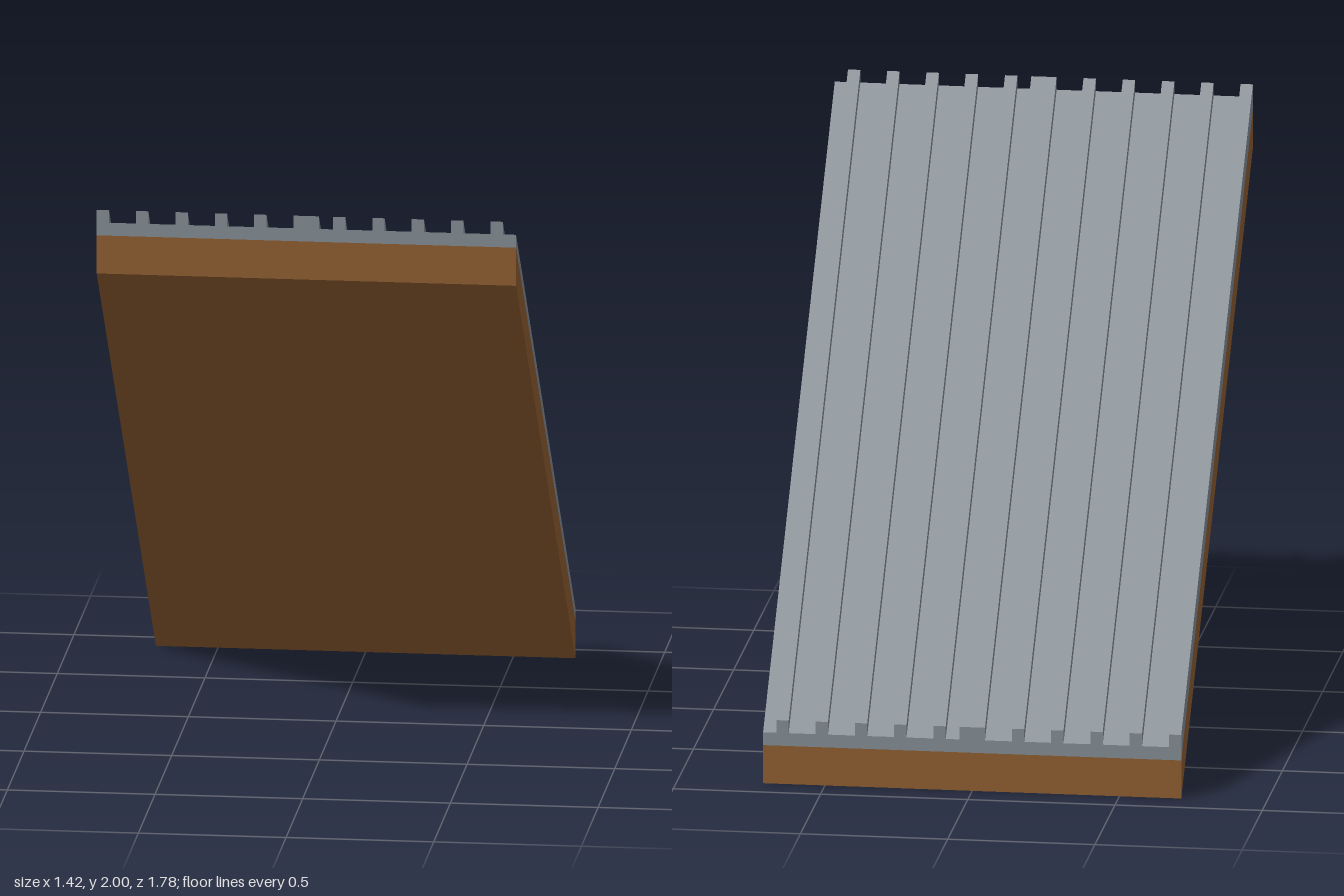
import * as THREE from 'three';

const HALF_WIDTH = 0.71;
const HALF_RUN = 0.89;

// Extrudes an x-y section along z, then shears it so it climbs one unit per unit of z
function slopedExtrusion(points) {
  const shape = new THREE.Shape(points.map(([x, y]) => new THREE.Vector2(x, y)));
  const geometry = new THREE.ExtrudeGeometry(shape, { depth: 2 * HALF_RUN, bevelEnabled: false });
  const pos = geometry.attributes.position;
  for (let i = 0; i < pos.count; i++) {
    const z = pos.getZ(i);
    pos.setY(i, pos.getY(i) + z);
    pos.setZ(i, z - HALF_RUN);
  }
  geometry.computeVertexNormals();
  return geometry;
}

export function createModel() {
  const group = new THREE.Group();
  const wood = new THREE.MeshStandardMaterial({ color: 0x8b5a2f });
  wood.name = 'brown wood';
  const metal = new THREE.MeshStandardMaterial({ color: 0x808a91 });
  metal.name = 'grey metal';

  const woodTop = 0.133, sheetTop = 0.178, ribTop = 0.222;

  // Wooden deck under the sheet
  const deck = new THREE.Mesh(slopedExtrusion([
    [-HALF_WIDTH, 0], [HALF_WIDTH, 0], [HALF_WIDTH, woodTop], [-HALF_WIDTH, woodTop],
  ]), wood);
  deck.name = 'roofDeck';
  group.add(deck);

  // Ribbed metal sheet: eleven ribs, the middle one double width
  const section = [[HALF_WIDTH, woodTop], [HALF_WIDTH, sheetTop]];
  for (let i = 10; i >= 0; i--) {
    const left = -HALF_WIDTH + i * 0.1333;
    const right = left + (i === 5 ? 0.086 : 0.042);
    section.push([right, sheetTop], [right, ribTop], [left, ribTop]);
    if (i > 0) section.push([left, sheetTop]);
  }
  section.push([-HALF_WIDTH, woodTop]);
  const sheet = new THREE.Mesh(slopedExtrusion(section), metal);
  sheet.name = 'ribbedMetalSheet';
  group.add(sheet);

  return group;
}
